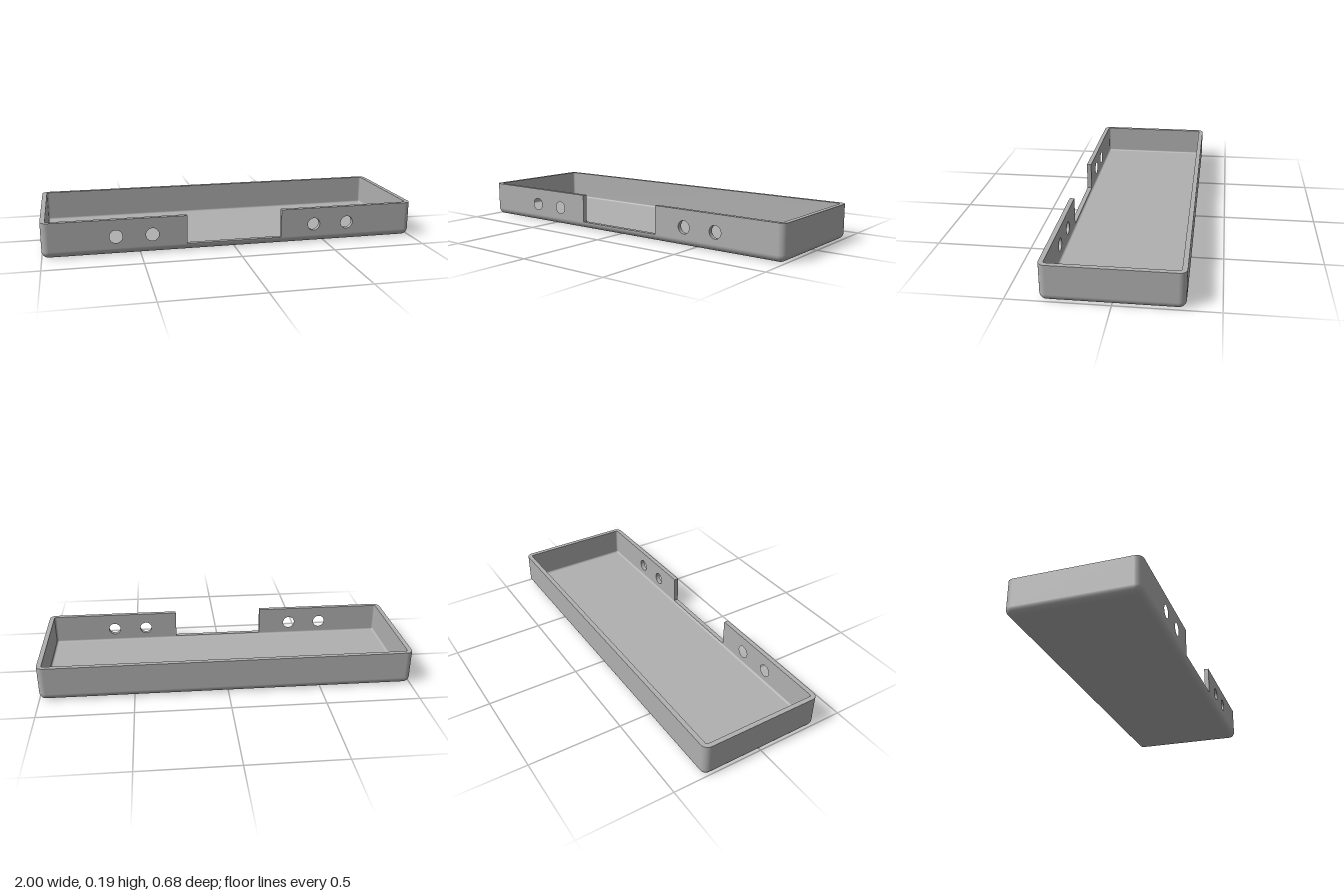
import * as THREE from 'three';

const HALF_X = 1, HALF_Z = 0.3375, HEIGHT = 0.1875;
const R = 0.036, WALL = 0.025, R_IN = R - WALL; // outer and inner fillet radii
const CX = HALF_X - R, CZ = HALF_Z - R;          // corner centres
const NOTCH = 0.255, HOLE_Y = 0.0975, HOLE_R = 0.034, HOLES = [0.4375, 0.625];
const STEPS = 10;

// Rounded-rectangle path, from the front left corner round the back to the front right
function cornerPath() {
  const path = [];
  [[1, 1], [1, -1], [-1, -1], [-1, 1]].forEach(([sx, sz], k) => {
    for (let i = 0; i <= STEPS; i++) {
      const a = Math.PI / 2 * (1 - k - i / STEPS);
      path.push({ x: sx * CX, z: sz * CZ, c: Math.cos(a), s: Math.sin(a) });
    }
  });
  return path;
}

// Sweep a profile of [radius, y, radial normal, y normal] points along the path
function sweep(profile, closed) {
  const path = cornerPath();
  if (closed) path.push(path[0]);
  const pos = [], nor = [], idx = [], n = profile.length;
  path.forEach((p, i) => profile.forEach(([r, y, nr, ny], j) => {
    pos.push(p.x + r * p.c, y, p.z + r * p.s);
    nor.push(nr * p.c, ny, nr * p.s);
    if (i < path.length - 1 && j < n - 1) {
      const a = i * n + j, b = a + n;
      idx.push(a, b, b + 1, a, b + 1, a + 1);
    }
  }));
  const g = new THREE.BufferGeometry();
  g.setAttribute('position', new THREE.Float32BufferAttribute(pos, 3));
  g.setAttribute('normal', new THREE.Float32BufferAttribute(nor, 3));
  g.setIndex(idx);
  return g;
}

// Quarter-round fillet; side 1 faces out and rises, side -1 faces in and falls
function fillet(radius, side) {
  const profile = [];
  for (let i = 0; i <= STEPS; i++) {
    const t = Math.PI / 2 * (side > 0 ? 1 - i / STEPS : i / STEPS);
    const c = Math.cos(t), s = -Math.sin(t);
    profile.push([radius * c, R + radius * s, side * c, side * s]);
  }
  return profile;
}

// Front panel on one side of the notch, with its two round holes
function frontPanel(sign) {
  const a = sign * NOTCH, b = sign * CX;
  const shape = new THREE.Shape();
  shape.moveTo(a, R).lineTo(b, R).lineTo(b, HEIGHT).lineTo(a, HEIGHT).closePath();
  for (const x of HOLES) {
    shape.holes.push(new THREE.Path().absarc(sign * x, HOLE_Y, HOLE_R, 0, Math.PI * 2, true));
  }
  const g = new THREE.ExtrudeGeometry(shape, { depth: WALL, bevelEnabled: false, curveSegments: 32 });
  return g.translate(0, 0, HALF_Z - WALL);
}

export function createModel() {
  const group = new THREE.Group();
  group.name = 'openTray';
  const grey = new THREE.MeshStandardMaterial({ color: 0xb0b0b0 });
  grey.name = 'grey plastic';
  const add = (name, geometry) => {
    const mesh = new THREE.Mesh(geometry, grey);
    mesh.name = name;
    group.add(mesh);
  };

  // Base: underside, floor and the fillets around them
  add('underside', new THREE.PlaneGeometry(2 * CX, 2 * CZ).rotateX(Math.PI / 2));
  add('floor', new THREE.PlaneGeometry(2 * CX, 2 * CZ).rotateX(-Math.PI / 2).translate(0, WALL, 0));
  add('outerFillet', sweep(fillet(R, 1), true));
  add('innerFillet', sweep(fillet(R_IN, -1), true));

  // Side and back walls with a flat rim and rounded corners
  add('sideAndBackWalls', sweep([
    [R, R, 1, 0], [R, HEIGHT, 1, 0],
    [R, HEIGHT, 0, 1], [R_IN, HEIGHT, 0, 1],
    [R_IN, HEIGHT, -1, 0], [R_IN, R, -1, 0],
  ], false));

  // Front wall: two drilled panels and the low sill between them
  add('frontPanelLeft', frontPanel(1));
  add('frontPanelRight', frontPanel(-1));
  add('notchSill', new THREE.PlaneGeometry(2 * NOTCH, WALL).rotateX(-Math.PI / 2)
    .translate(0, R, HALF_Z - WALL / 2));
  return group;
}
